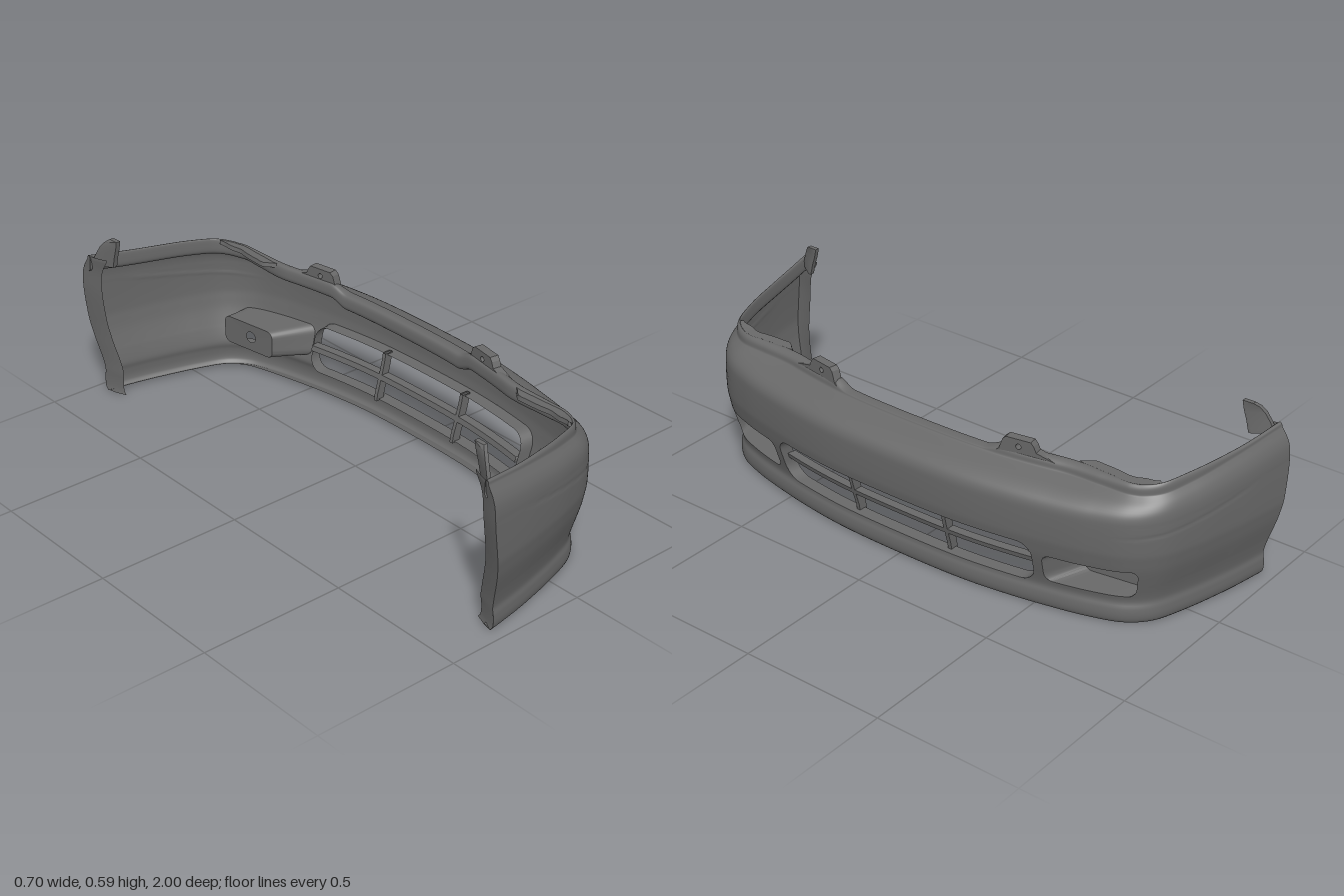
import * as THREE from 'three';
import { toCreasedNormals } from 'three/addons/utils/BufferGeometryUtils.js';

const { smoothstep: smooth, clamp } = THREE.MathUtils;
const V = (x, y, z) => new THREE.Vector3(x, y, z);

// Plan outline of the bumper: a wide U, one half mirrored
const half = [[0.351, 0], [0.345, 0.24], [0.327, 0.4], [0.3, 0.55], [0.266, 0.69], [0.222, 0.8],
  [0.15, 0.875], [0.03, 0.924], [-0.15, 0.966], [-0.352, 1]];
const plan = new THREE.CatmullRomCurve3([
  ...half.slice(1).reverse().map(([x, z]) => V(x, 0, -z)), ...half.map(([x, z]) => V(x, 0, z))]);
plan.arcLengthDivisions = 1000;
const L = plan.getLength(), END = L / 2;

// Vertical profile: [t, inward offset, height]
const profile = [[-0.06, 0.09, 0.012], [-0.02, 0.06, 0.003], [0, 0.05, 0.001], [0.012, 0.041, 0.01],
  [0.03, 0.037, 0.03], [0.055, 0.039, 0.055], [0.075, 0.045, 0.075], [0.1, 0.041, 0.1], [0.15, 0.026, 0.15],
  [0.2, 0.012, 0.2], [0.235, 0.005, 0.235], [0.27, 0, 0.27], [0.36, 0, 0.36], [0.385, 0.005, 0.385],
  [0.405, 0.02, 0.405], [0.42, 0.048, 0.422], [0.44, 0.09, 0.438], [0.46, 0.108, 0.445], [0.5, 0.117, 0.453],
  [0.54, 0.148, 0.452], [0.58, 0.156, 0.425], [0.61, 0.152, 0.407], [0.64, 0.132, 0.397]];
// Rear edge set-back by height
const rear = [[0, 0.042], [0.1, 0.041], [0.2, 0.026], [0.3, 0.011], [0.42, 0], [0.6, 0.006]];

// Cubic interpolation through table rows
function lookup(table, t, col) {
  let i = 0;
  while (i < table.length - 2 && t > table[i + 1][0]) i++;
  const slope = j => {
    const a = table[Math.max(j - 1, 0)], b = table[Math.min(j + 1, table.length - 1)];
    return (b[col] - a[col]) / (b[0] - a[0]);
  };
  const a = table[i], b = table[i + 1], w = b[0] - a[0], f = clamp((t - a[0]) / w, 0, 1);
  const f2 = f * f, f3 = f2 * f;
  return (2 * f3 - 3 * f2 + 1) * a[col] + (f3 - 2 * f2 + f) * w * slope(i)
    + (3 * f2 - 2 * f3) * b[col] + (f3 - f2) * w * slope(i + 1);
}

// Point on the skin: s along the outline, t up the profile, depth inward
function skin(s, t, depth = 0) {
  const u = clamp(s / L + 0.5, 0, 1), p = plan.getPointAt(u), tan = plan.getTangentAt(u), a = Math.abs(s);
  let d = lookup(profile, t, 1), y = lookup(profile, t, 2);
  if (t > 0.37) d *= 1 - 0.68 * smooth(a, 0.55, 0.98);
  // softer foot and narrower bottom return on the sides
  if (t < 0) d = 0.05 + (d - 0.05) * (1 - 0.4 * smooth(a, 0.6, 1));
  else d -= 0.2 * Math.max(d - 0.03, 0) * smooth(a, 0.8, 1.1) * smooth(t, 0.04, 0.07) * (1 - smooth(t, 0.2, 0.3));
  // shallow styling crease on the sides
  const line = 0.36 - 0.035 * clamp((p.x + 0.2) / 0.44, 0, 1);
  d += 0.002 * Math.exp(-(((t - line) / 0.004) ** 2)) * smooth(a, 0.75, 0.9) * (1 - smooth(a, 1.2, 1.32));
  // shoulder climbs to the rear, top flange stands higher outside the centre
  y += 0.066 * clamp((0.2 - p.x) / 0.55, 0, 1) * smooth(t, 0.25, 0.46);
  y += 0.023 * smooth(a, 0.28, 0.36) * (1 - 0.8 * smooth(a, 0.95, 1.35)) * smooth(t, 0.46, 0.53);
  const toRear = smooth(a, END - 0.4, END);
  p.x += lookup(rear, y, 1) * toRear;
  return V(p.x - tan.z * (d + depth) * (1 - toRear), y, p.z + tan.x * (d + depth));
}

// Openings as rounded rectangles in (s, t)
const grille = { s: 0, t: 0.158, w: 0.515, h: 0.0775, r: 0.05 };
const lamp = side => ({ s: side * 0.703, t: 0.152, w: 0.155, h: 0.053, r: 0.028 });
const openings = [grille, lamp(1), lamp(-1)];
function distance(s, t) {
  return Math.min(...openings.map(o => {
    const x = Math.abs(s - o.s) - o.w + o.r, y = Math.abs(t - o.t) - o.h + o.r;
    return Math.hypot(Math.max(x, 0), Math.max(y, 0)) + Math.min(Math.max(x, y), 0) - o.r;
  }));
}
function outline({ w, h, r }, n) {
  const q = Math.PI / 2, shape = new THREE.Shape();
  shape.absarc(w - r, h - r, r, 0, q).absarc(r - w, h - r, r, q, 2 * q);
  shape.absarc(r - w, r - h, r, 2 * q, 3 * q).absarc(w - r, r - h, r, 3 * q, 4 * q);
  shape.closePath();
  return shape.getSpacedPoints(n);
}

function build(points, index) {
  const g = new THREE.BufferGeometry();
  g.setAttribute('position', new THREE.Float32BufferAttribute(points.flatMap(p => [p.x, p.y, p.z]), 3));
  g.setIndex(index);
  g.computeVertexNormals();
  return g;
}
// Surface joining successive rows of points
function loft(rows, angle = 0.6) {
  const n = rows[0].length, index = [];
  for (let i = 0; i < rows.length - 1; i++) for (let j = 0; j < n - 1; j++) {
    const a = i * n + j, b = a + n;
    index.push(a, b, a + 1, b, b + 1, a + 1);
  }
  return toCreasedNormals(build(rows.flat(), index), angle);
}
const range = (a, b, n) => Array.from({ length: n + 1 }, (_, i) => a + (b - a) * i / n);

// Main skin: a grid whose vertices snap to the opening edges
function skinGeometry() {
  const NS = 320, NT = 118, st = [], index = [], e = 1e-4;
  for (const t0 of range(-0.06, 0.64, NT)) for (const s0 of range(-END, END, NS)) {
    let s = s0, t = t0;
    const d = distance(s, t);
    if (Math.abs(d) < 0.005) {
      s -= d * (distance(s0 + e, t0) - distance(s0 - e, t0)) / (2 * e);
      t -= d * (distance(s0, t0 + e) - distance(s0, t0 - e)) / (2 * e);
    }
    st.push([s, t]);
  }
  const tri = (...k) => {
    const mid = c => k.reduce((sum, i) => sum + st[i][c], 0) / 3;
    if (distance(mid(0), mid(1)) > 0) index.push(...k);
  };
  for (let i = 0; i < NT; i++) for (let j = 0; j < NS; j++) {
    const a = i * (NS + 1) + j, b = a + NS + 1;
    tri(a, b, a + 1);
    tri(b, b + 1, a + 1);
  }
  return build(st.map(([s, t]) => skin(s, t)), index);
}

// Plate with a bolt hole, drawn in (z, y) and extruded along x
function plate(points, depth, hole) {
  const shape = new THREE.Shape(points.map(p => new THREE.Vector2(...p)));
  shape.holes.push(new THREE.Path().absarc(...hole, 0, Math.PI * 2));
  return new THREE.ExtrudeGeometry(shape, { depth, bevelEnabled: false, curveSegments: 12 })
    .translate(0, 0, -depth / 2).scale(-1, 1, -1).rotateY(Math.PI / 2);
}

export function createModel() {
  const model = new THREE.Group();
  const grey = new THREE.MeshStandardMaterial({ color: 0x686868, side: THREE.DoubleSide });
  grey.name = 'dark grey plastic';
  const add = (name, geometry) => {
    const mesh = new THREE.Mesh(geometry, grey);
    mesh.name = name;
    model.add(mesh);
    return mesh;
  };

  add('bumperSkin', skinGeometry());

  // Central air intake: rim and bars
  const rim = outline(grille, 200);
  add('intakeRim', loft([0, 0.02, 0.045].map(d => rim.map(p => skin(p.x, grille.t + p.y, d)))));
  const bar = (s0, s1, t0, t1) => [[s0, t0, 0.022], [s1, t1, 0.022], [s1, t1, 0.053], [s0, t0, 0.053], [s0, t0, 0.022]]
    .map(q => skin(...q));
  add('intakeCrossBar', loft(range(-0.515, 0.515, 40).map(s => bar(s, s, 0.148, 0.166))));

  for (const side of [1, -1]) {
    add('intakeUpright', loft(range(0.075, 0.24, 6).map(t => bar(side * 0.19 - 0.007, side * 0.19 + 0.007, t, t))));

    // Fog lamp pocket: walls tapering to a back plate with a round hole
    const o = lamp(side);
    const edge = outline(o, 96);
    const back = outline({ w: 0.11, h: 0.05, r: 0.024 }, 96).map(p => V(0.125 - side * p.x * 0.15, 0.153 + p.y, side * 0.712 + p.x));
    const hole = back.map(p => {
      const dir = V(0, p.y - 0.155, p.z - side * 0.7).setLength(0.02);
      return V(0.127 - side * dir.z * 0.15, 0.155 + dir.y, side * 0.7 + dir.z);
    });
    add('fogLampPocket', loft([edge.map(p => skin(o.s + p.x, o.t + p.y)), back, hole]));

    // Inward flange closing each rear edge
    add('rearFlange', loft(range(0, 0.5, 40).map(t => {
      const p = skin(side * END, t);
      return [p, V(p.x + 0.008, p.y, p.z - side * 0.035), V(p.x + 0.024, p.y, p.z - side * 0.075)];
    })));

    // Rear mounting tab: a tapering blade set diagonally, rows of [y, rear x, outer z, inner z]
    const blade = [[0.49, -0.343, 0.955, 0.885], [0.53, -0.334, 0.94, 0.875], [0.56, -0.326, 0.925, 0.865],
      [0.58, -0.316, 0.91, 0.86], [0.592, -0.304, 0.895, 0.858]].map(([y, x, z0, z1]) =>
      [V(x, y, side * z0), V(x + 0.014, y, side * z0), V(-0.288, y, side * (z1 + 0.01)), V(-0.288, y, side * z1),
        V(-0.304, y, side * z1), V(x, y, side * z0)]);
    blade.push(blade[4].map(() => V(-0.296, 0.593, side * 0.875)));
    add('rearMountingTab', loft(blade));

    // Front mounting tab, turned to follow the top flange
    const tab = add('frontMountingTab', plate([[-0.09, 0.448], [-0.066, 0.466], [-0.054, 0.502], [-0.042, 0.513], [0.042, 0.513],
      [0.052, 0.5], [0.06, 0.482], [0.14, 0.46]], 0.03, [0, 0.488, 0.009]));
    tab.position.set(0.196, 0, side * 0.39);
    tab.rotation.y = -side * 0.17;
    tab.scale.z = side;

    // Flat ledge behind each front corner
    add('cornerLedge', loft(range(0.61, 0.94, 20).map(s => {
      const width = 0.035 * smooth(s, 0.6, 0.67) * (1 - 0.7 * smooth(s, 0.88, 0.94));
      return [[0, 0], [width, 0.003], [width + 0.003, -0.012], [0, -0.012]].map(([d, y]) => {
        const p = skin(side * s, 0.54, d);
        p.y += y;
        return p;
      });
    })));
  }
  return model;
}
